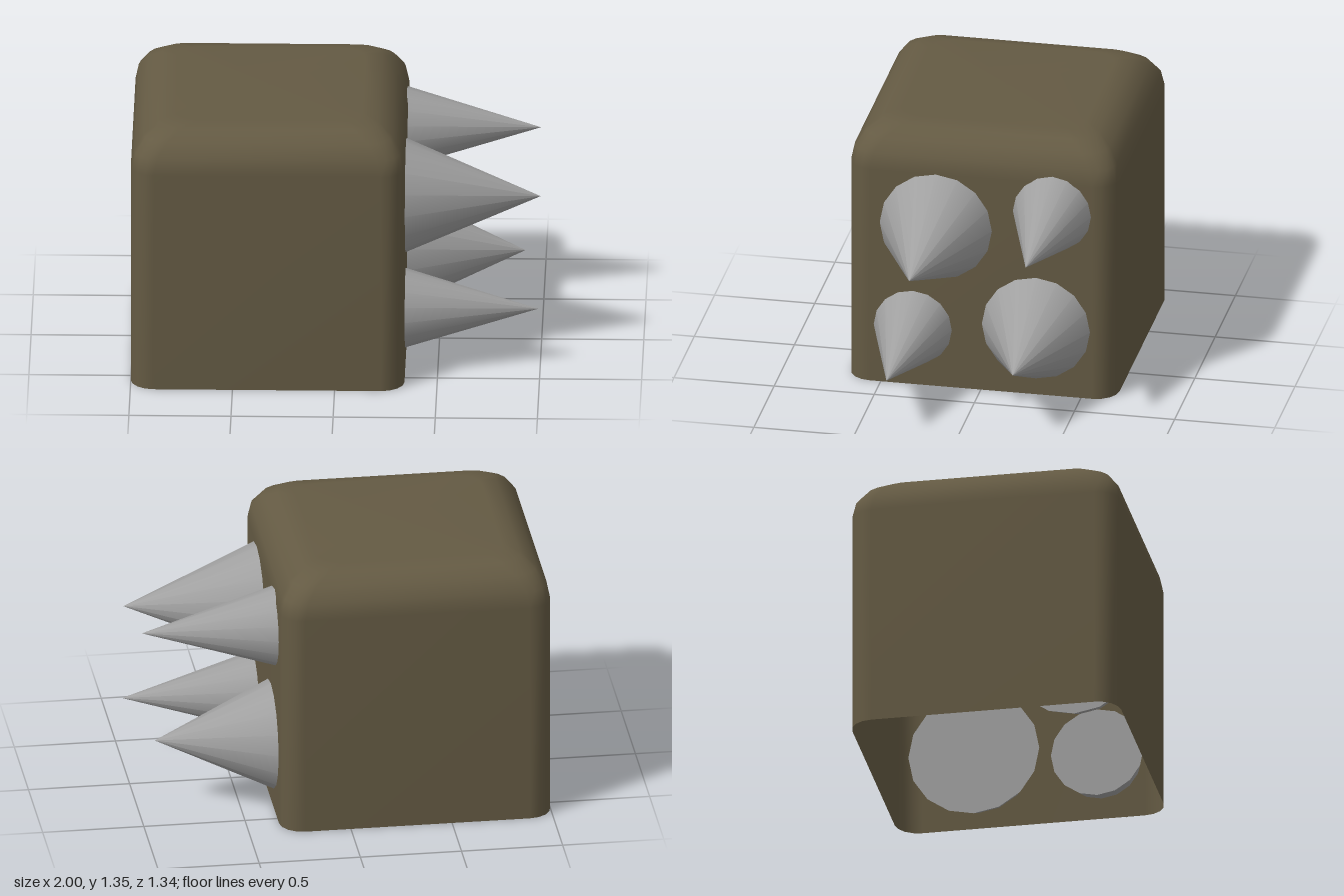
import * as THREE from 'three';

const bodyBrown = new THREE.MeshStandardMaterial({ color: 0x645a43, side: THREE.DoubleSide });
bodyBrown.name = 'bodyBrown';
const spikeGrey = new THREE.MeshStandardMaterial({ color: 0xa0a0a0 });
spikeGrey.name = 'spikeGrey';

// Outline of a rounded square, clockwise seen from above
function roundedSquare(half, radius, y, steps) {
  const ring = [];
  for (let corner = 0; corner < 4; corner++) {
    const mid = (corner + 0.5) * Math.PI / 2;
    const cx = Math.sign(Math.cos(mid)) * (half - radius);
    const cz = Math.sign(Math.sin(mid)) * (half - radius);
    for (let i = 0; i <= steps; i++) {
      const a = (corner + i / steps) * Math.PI / 2;
      ring.push([cx + Math.cos(a) * radius, y, cz + Math.sin(a) * radius]);
    }
  }
  return ring;
}

// Hollow block with an open bottom and rounded upper edges
function blockGeometry() {
  const half = 0.67, height = 1.345, bevel = 0.21, steps = 4;
  const rings = [roundedSquare(half, 0.115, 0, steps)];
  for (let i = 0; i <= 4; i++) {
    const a = i / 4 * Math.PI / 2;
    const inset = bevel * (1 - Math.cos(a));
    rings.push(roundedSquare(half - inset, 0.115, height - bevel + bevel * Math.sin(a), steps));
  }
  const n = rings[0].length;
  const points = rings.flat();
  const index = [];
  for (let r = 0; r < rings.length - 1; r++) {
    for (let i = 0; i < n; i++) {
      const a = r * n + i, b = r * n + (i + 1) % n;
      index.push(a, a + n, b, b, a + n, b + n);
    }
  }
  // Top cap
  const centre = points.length, last = centre - n;
  points.push([0, height, 0]);
  for (let i = 0; i < n; i++) index.push(centre, last + (i + 1) % n, last + i);

  const geometry = new THREE.BufferGeometry();
  geometry.setAttribute('position', new THREE.Float32BufferAttribute(points.flat(), 3));
  geometry.setIndex(index);
  geometry.computeVertexNormals();
  return geometry;
}

export function createModel() {
  const model = new THREE.Group();
  model.name = 'spikedBlock';

  const block = new THREE.Mesh(blockGeometry(), bodyBrown);
  block.name = 'block';
  block.position.x = -0.33;
  model.add(block);

  // Spikes: name, y, z, radius at the wall, tip x
  const wall = 0.34, depth = 0.12;
  const spikes = [
    ['upperFrontSpike', 0.855, 0.225, 0.28, 1.0],
    ['upperBackSpike', 0.975, -0.355, 0.195, 0.99],
    ['lowerFrontSpike', 0.305, 0.34, 0.195, 0.99],
    ['lowerBackSpike', 0.355, -0.275, 0.27, 0.915],
  ];
  for (const [name, y, z, radius, tip] of spikes) {
    // The base continues a little way inside the wall
    const length = tip - wall + depth;
    const geometry = new THREE.ConeGeometry(radius * length / (tip - wall), length, 16);
    geometry.rotateZ(-Math.PI / 2);
    const spike = new THREE.Mesh(geometry, spikeGrey);
    spike.name = name;
    spike.position.set(tip - length / 2, y, z);
    model.add(spike);
  }
  return model;
}
